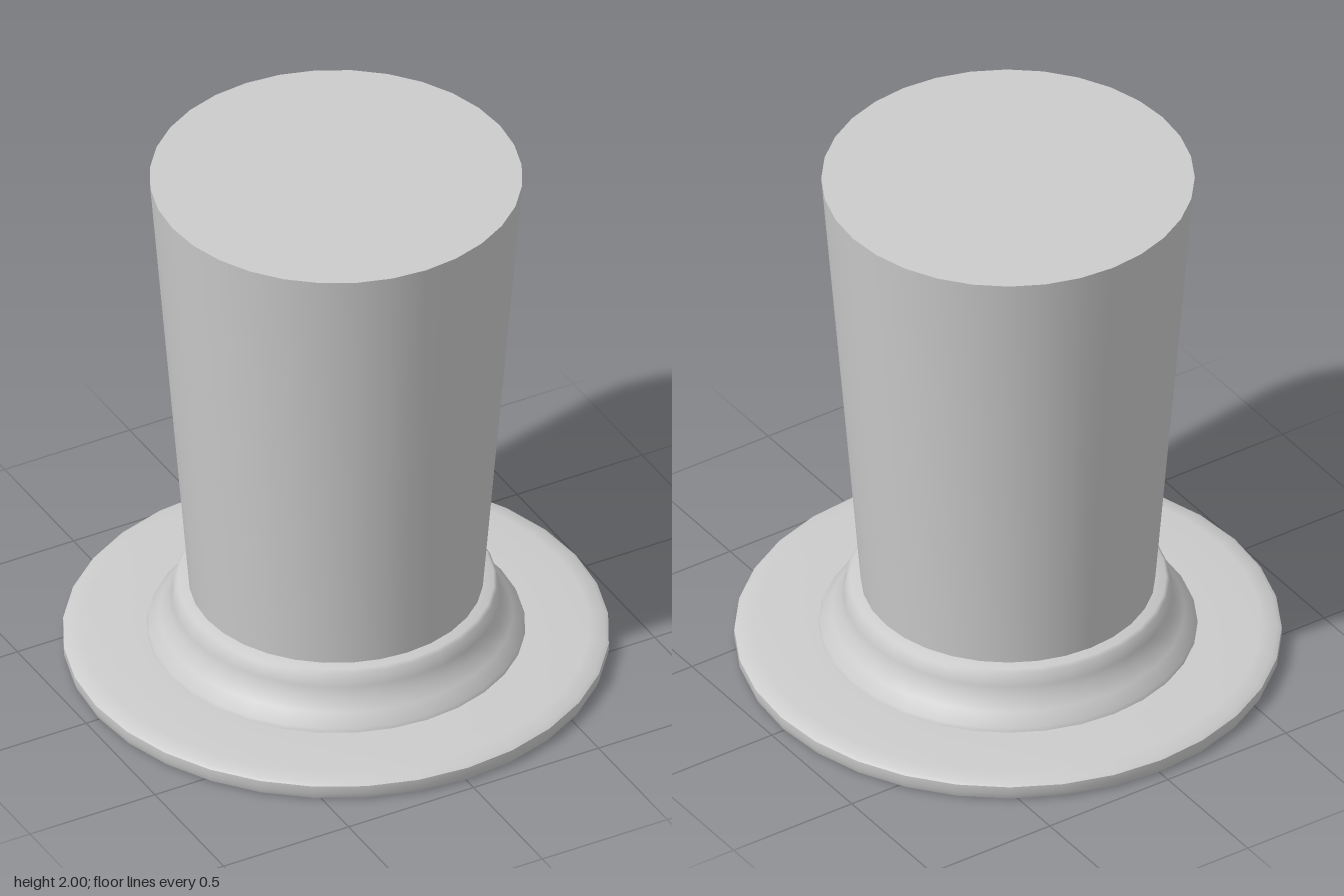
import * as THREE from 'three';
import { toCreasedNormals } from 'three/addons/utils/BufferGeometryUtils.js';

const SIDES = 32;

export function createModel() {
  const hat = new THREE.Group();
  hat.name = 'topHat';
  const material = new THREE.MeshStandardMaterial({ color: 0xcccccc });

  // Turn a profile of [radius, height] pairs around the vertical axis
  const turn = (name, profile, crease = 0.7) => {
    const points = profile.map(([r, y]) => new THREE.Vector2(r, y));
    const geometry = toCreasedNormals(new THREE.LatheGeometry(points, SIDES), crease);
    const mesh = new THREE.Mesh(geometry, material);
    mesh.name = name;
    hat.add(mesh);
  };

  // Flat brim with a softened outer edge, open in the middle underneath
  turn('brim', [
    [0.43, 0], [0.93, 0], [0.95, 0.005], [0.96, 0.03], [0.96, 0.06],
    [0.945, 0.07], [0.89, 0.078], [0.6, 0.078],
  ], 0.9);

  // Flared band around the foot of the crown
  turn('band', [
    [0.65, 0.075], [0.665, 0.085], [0.66, 0.1], [0.62, 0.14], [0.588, 0.18],
    [0.578, 0.22], [0.567, 0.27], [0.555, 0.28], [0.46, 0.283],
  ], 0.9);

  // Crown widening upwards to a flat top
  turn('crown', [[0.515, 0.26], [0.655, 2], [0, 2]]);

  // Rounded hollow for the head
  const hollow = [];
  for (let i = 0; i <= 12; i++) {
    const a = (i / 12) * Math.PI / 2;
    hollow.push([0.41 * Math.sin(a), 0.015 + 0.54 * Math.cos(a)]);
  }
  hollow.push([0.43, 0]);
  turn('headHollow', hollow, 0.8);

  return hat;
}
